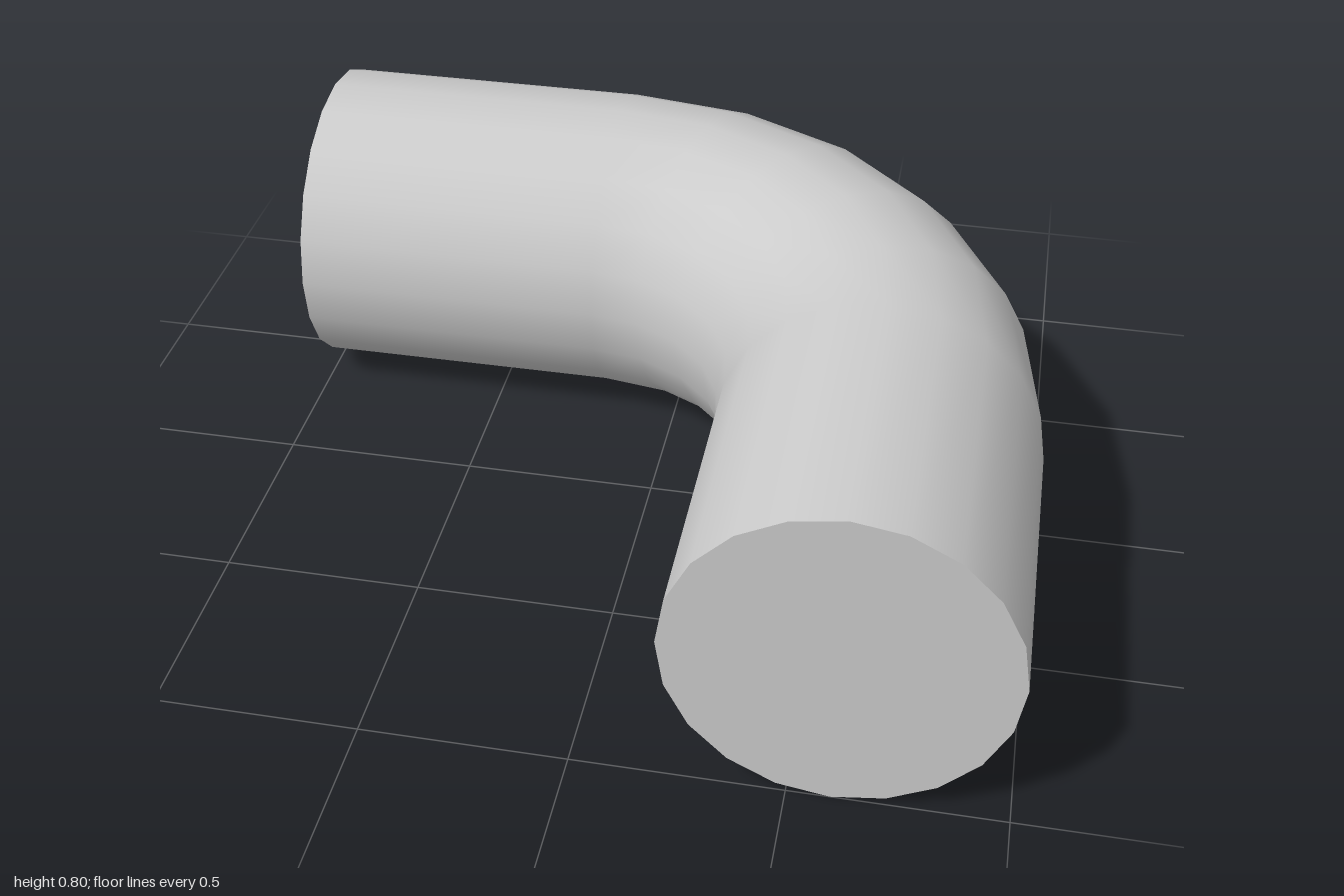
import * as THREE from 'three';

const RADIUS = 0.4, SIDES = 20, LENGTH = 0.8, BEND = 0.8;

export function createModel() {
  const model = new THREE.Group();
  model.name = 'pipeElbow';
  const material = new THREE.MeshStandardMaterial({ color: 0xcccccc });

  const add = (parent, name, geometry) => {
    const mesh = new THREE.Mesh(geometry, material);
    mesh.name = name;
    parent.add(mesh);
  };

  // Straight pipe running along its own +z, closed at the far end
  const addStraight = (name, x, z, turn) => {
    const group = new THREE.Group();
    group.name = name;
    add(group, 'pipeWall', new THREE.CylinderGeometry(RADIUS, RADIUS, LENGTH, SIDES, 1, true)
      .rotateX(Math.PI / 2).translate(0, 0, LENGTH / 2));
    add(group, 'endCap', new THREE.CircleGeometry(RADIUS, SIDES).translate(0, 0, LENGTH));
    group.position.set(x, RADIUS, z);
    group.rotation.y = turn;
    model.add(group);
  };
  addStraight('frontPipe', 0.6, 0.2, 0);
  addStraight('sidePipe', -0.2, -0.6, -Math.PI / 2);

  // Quarter-turn bend in five segments
  add(model, 'bend', new THREE.TorusGeometry(BEND, RADIUS, SIDES, 5, Math.PI / 2)
    .rotateX(-Math.PI / 2).translate(-0.2, RADIUS, 0.2));

  return model;
}
